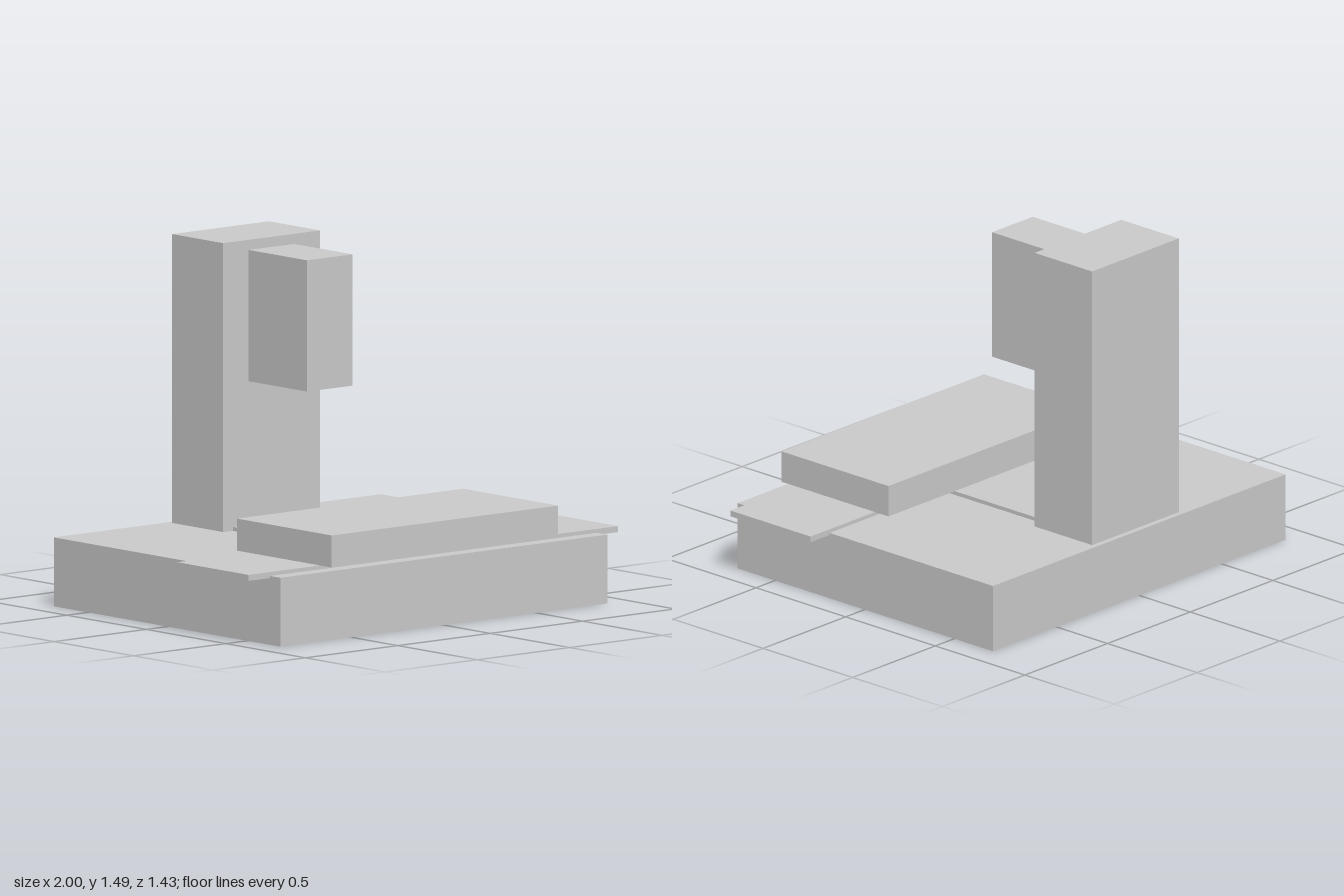
import * as THREE from 'three';

const material = new THREE.MeshStandardMaterial({ color: 0xcccccc, flatShading: true });

// Box given by its [min, max] extent along each axis
function block(name, [x0, x1], [y0, y1], [z0, z1]) {
  const mesh = new THREE.Mesh(new THREE.BoxGeometry(x1 - x0, y1 - y0, z1 - z0), material);
  mesh.position.set((x0 + x1) / 2, (y0 + y1) / 2, (z0 + z1) / 2);
  mesh.name = name;
  return mesh;
}

export function createModel() {
  const model = new THREE.Group();
  model.name = 'millingMachine';
  model.add(
    // Heavy bed the machine stands on
    block('base', [-0.885, 0.885], [0, 0.286], [-0.716, 0.709]),
    // Upright column with the overhanging spindle head
    block('column', [-0.265, 0.259], [0.286, 1.485], [-0.692, -0.371]),
    block('spindleHead', [-0.127, 0.119], [0.898, 1.443], [-0.371, -0.004]),
    // Thin guide running from the column to the table
    block('guideRail', [-0.213, 0.21], [0.28, 0.302], [-0.371, 0.25]),
    // Wide cross slide carrying the work table
    block('crossSlide', [-1, 1], [0.277, 0.302], [0.196, 0.643]),
    block('workTable', [-0.613, 0.611], [0.302, 0.435], [0.12, 0.716]),
  );
  return model;
}
